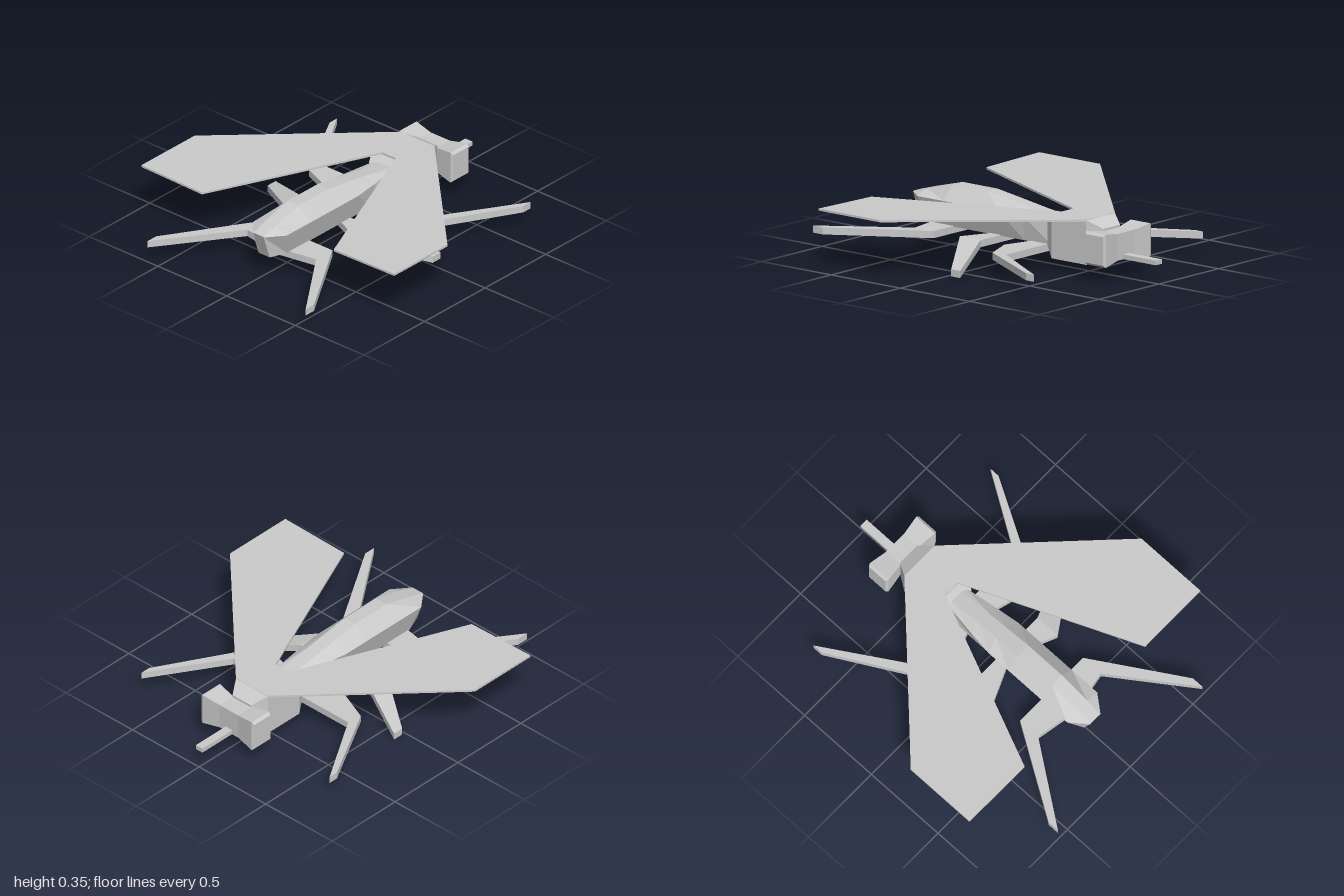
import * as THREE from 'three';

const material = new THREE.MeshStandardMaterial({ color: 0xcccccc, flatShading: true, side: THREE.DoubleSide });

function part(name, geometry) {
  const mesh = new THREE.Mesh(geometry, material);
  mesh.name = name;
  return mesh;
}

// Skin over closed rings listed from +z to -z, each counter-clockwise seen from +z
function loft(rings) {
  const n = rings[0].length, index = [];
  for (let i = 0; i < rings.length - 1; i++) {
    for (let j = 0; j < n; j++) {
      const a = i * n + j, b = i * n + (j + 1) % n;
      index.push(a, a + n, b, b, a + n, b + n);
    }
  }
  const last = (rings.length - 1) * n;
  for (let j = 1; j < n - 1; j++) {
    index.push(0, j, j + 1, last, last + j + 1, last + j);
  }
  const geometry = new THREE.BufferGeometry();
  geometry.setAttribute('position', new THREE.Float32BufferAttribute(rings.flat(2), 3));
  geometry.setIndex(index);
  const flat = geometry.toNonIndexed();
  flat.computeVertexNormals();
  return flat;
}

// Flat plate with an (x, z) outline; its top height follows a rule of |x|
function plate(outline, side, depth, topAt) {
  const shape = new THREE.Shape(outline.map(([x, z]) => new THREE.Vector2(side * x, z)));
  const geometry = new THREE.ExtrudeGeometry(shape, { depth, bevelEnabled: false });
  geometry.rotateX(Math.PI / 2);
  const p = geometry.attributes.position;
  for (let i = 0; i < p.count; i++) p.setY(i, p.getY(i) + topAt(Math.abs(p.getX(i))));
  geometry.computeVertexNormals();
  return geometry;
}

// Rectangular ring
const box = (w, y0, y1, z, zBottom = z) =>
  [[-w, y0, zBottom], [w, y0, zBottom], [w, y1, z], [-w, y1, z]];

export function createModel() {
  const model = new THREE.Group();

  // Abdomen: bottom half width and z, shoulder half width and z, ridge half width, height and z
  const abdomen = [
    [0.04, 0.69, 0.04, 0.74, 0.035, 0.272, 0.738],
    [0.08, 0.59, 0.12, 0.64, 0.04, 0.3, 0.64],
    [0.08, 0.45, 0.12, 0.45, 0.04, 0.35, 0.45],
    [0.08, 0.2, 0.12, 0.2, 0.04, 0.35, 0.2],
    [0.08, 0.03, 0.12, 0.05, 0.04, 0.325, 0.03],
    [0.08, -0.1, 0.1, -0.1, 0.04, 0.305, -0.1],
    [0.08, -0.3, 0.07, -0.3, 0.04, 0.275, -0.3],
  ].map(([bw, bz, mw, mz, tw, ty, tz]) => [
    [-bw, 0.125, bz], [bw, 0.125, bz], [mw, 0.27, mz],
    [tw, ty, tz], [-tw, ty, tz], [-mw, 0.27, mz],
  ]);
  model.add(part('abdomen', loft(abdomen)));

  // Thorax
  model.add(part('thorax', loft([
    box(0.085, 0.12, 0.27, -0.27),
    box(0.12, 0.065, 0.28, -0.33),
    box(0.12, 0.065, 0.315, -0.58),
    box(0.07, 0.1, 0.27, -0.66),
  ])));

  // Head: a waisted block with bulging eye ends, lofted sideways
  const head = loft([
    [0.2, 0.063, 0.08], [0.185, 0.07, 0.094], [0.07, 0.055, 0.075],
    [-0.07, 0.055, 0.075], [-0.185, 0.07, 0.094], [-0.2, 0.063, 0.08],
  ].map(([z, w, h]) => box(w, -h, h, z)));
  head.rotateY(Math.PI / 2).translate(0, 0.182, -0.708);
  model.add(part('head', head));

  // Proboscis
  model.add(part('proboscis', new THREE.BoxGeometry(0.05, 0.026, 0.3).translate(0, 0.122, -0.85)));

  const level = () => 0.13;
  const drooping = (x) => 0.13 - 0.09 * Math.max(0, x - 0.25) / 0.35;
  const legs = [
    ['frontLeg', level, [[0, -0.17], [0.25, -0.1], [0.44, -0.18], [0.705, -0.65], [0.705, -0.71], [0.43, -0.27], [0, -0.27]]],
    ['middleLeg', drooping, [[0, 0.07], [0.25, 0.07], [0.6, -0.085], [0.6, -0.02], [0.25, 0.22], [0, 0.11]]],
    ['backLeg', level, [[0, 0.41], [0.25, 0.41], [0.575, 0.93], [0.575, 1], [0.25, 0.545], [0, 0.59]]],
  ];
  const wing = [[0, -0.58], [0.12, -0.58], [0.92, 0.22], [0.92, 0.66], [0.48, 0.66], [0.05, -0.34], [0, -0.34]];

  for (const [label, side] of [['left', 1], ['right', -1]]) {
    // Legs
    for (const [name, topAt, outline] of legs) {
      model.add(part(`${label}_${name}`, plate(outline, side, 0.04, topAt)));
    }
    // Wing
    model.add(part(`${label}_wing`, plate(wing, side, 0.012, (x) => 0.316 + 0.02 * x)));
  }
  return model;
}
